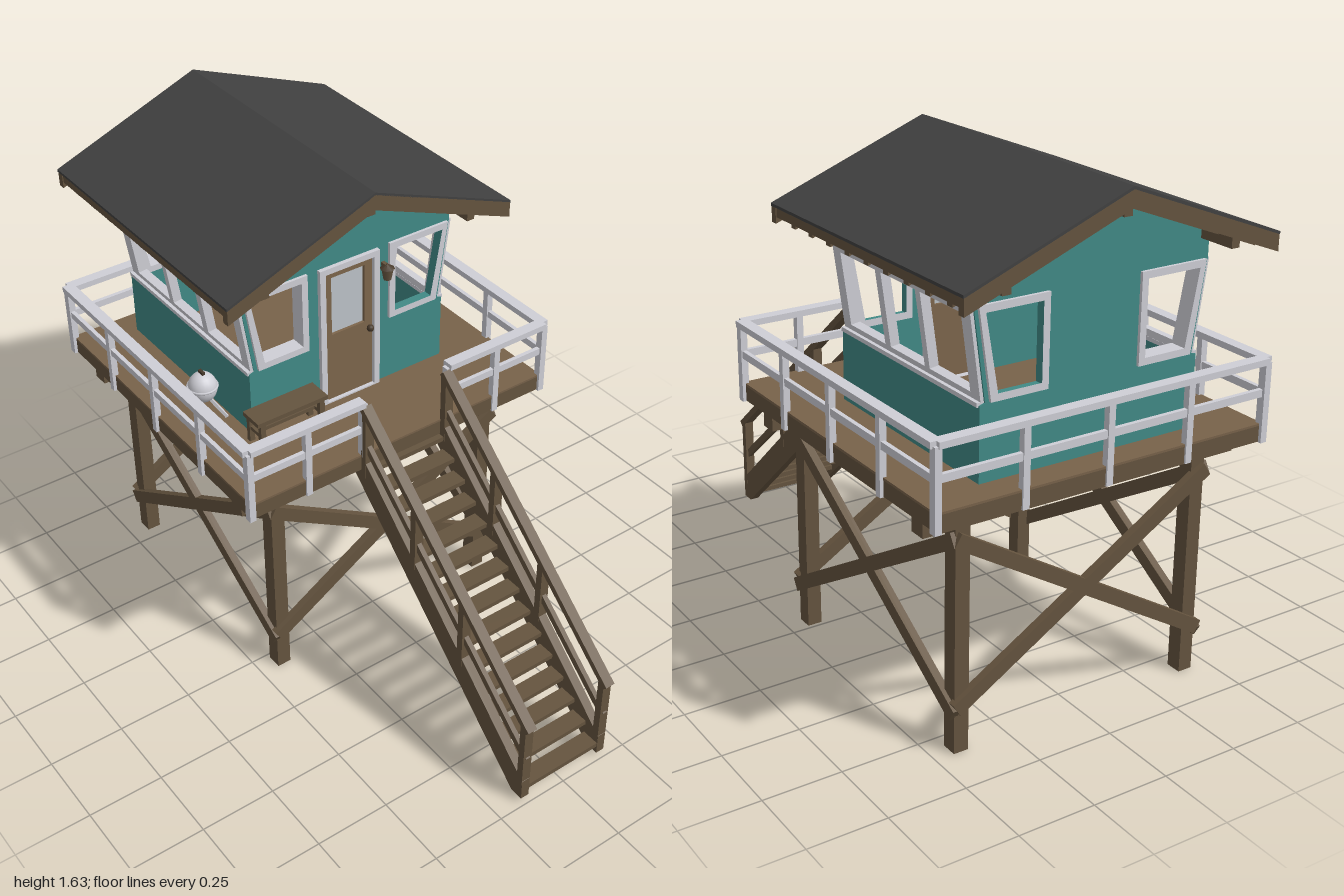
import * as THREE from 'three';

const mat = (name, color) => {
  const m = new THREE.MeshStandardMaterial({ color });
  m.name = name;
  return m;
};

export function createModel() {
  const wood = mat('weathered wood', 0x65543f);
  const darkWood = mat('dark wood', 0x483a2c);
  const floor = mat('floor boards', 0x78624a);
  const doorWood = mat('door wood', 0x7d664c);
  const teal = mat('teal paint', 0x418a86);
  const white = mat('white paint', 0xcfcfd6);
  const roofing = mat('roof felt', 0x414141);
  const glass = mat('pale glass', 0xbcc3c8);

  const root = new THREE.Group();
  root.name = 'watchTower';
  const group = (name) => {
    const g = new THREE.Group();
    g.name = name;
    root.add(g);
    return g;
  };
  const add = (parent, name, geo, m) => {
    const mesh = new THREE.Mesh(geo, m);
    mesh.name = name;
    parent.add(mesh);
    return mesh;
  };
  // Box given by its extents on each axis
  const box = (parent, name, m, x0, x1, y0, y1, z0, z1) => {
    const mesh = add(parent, name, new THREE.BoxGeometry(x1 - x0, y1 - y0, z1 - z0), m);
    mesh.position.set((x0 + x1) / 2, (y0 + y1) / 2, (z0 + z1) / 2);
    return mesh;
  };
  // Square timber between two points: w sideways, h upright
  const beam = (parent, name, m, a, b, w, h) => {
    const A = new THREE.Vector3(...a), B = new THREE.Vector3(...b);
    const mesh = add(parent, name, new THREE.BoxGeometry(w, h, A.distanceTo(B)), m);
    mesh.position.copy(A).lerp(B, 0.5);
    mesh.lookAt(B);
    return mesh;
  };
  const poly = (pts, holes = []) => {
    const s = new THREE.Shape(pts.map((p) => new THREE.Vector2(...p)));
    holes.forEach((h) => s.holes.push(new THREE.Path(h.map((p) => new THREE.Vector2(...p)))));
    return s;
  };
  const rect = (a, b, c, d) => [[a, c], [b, c], [b, d], [a, d]];
  const extrude = (shape, depth) => new THREE.ExtrudeGeometry(shape, { depth, bevelEnabled: false });
  // Profile drawn in (z, y), running from x towards -x
  const crossPart = (parent, name, m, shape, x, depth) => {
    const mesh = add(parent, name, extrude(shape, depth), m);
    mesh.rotation.y = -Math.PI / 2;
    mesh.position.x = x;
    return mesh;
  };

  // Legs, cross braces and bearers
  const base = group('towerBase');
  const X0 = -0.82, X1 = 0.04, Z = 0.415;
  for (const x of [X0, X1]) {
    for (const z of [-Z, Z]) box(base, 'leg', wood, x - 0.026, x + 0.026, 0, 0.77, z - 0.024, z + 0.024);
    box(base, 'bearer', wood, x - 0.028, x + 0.028, 0.71, 0.77, -0.545, 0.545);
    const out = x + Math.sign(x - X0 - 0.1) * 0.03;
    beam(base, 'sideBrace', wood, [out, 0.15, -0.44], [out, 0.68, 0.44], 0.025, 0.045);
    beam(base, 'sideBrace', wood, [out, 0.15, 0.44], [out, 0.68, -0.44], 0.025, 0.045);
  }
  for (const s of [-1, 1]) {
    const z = s * (Z + 0.025);
    beam(base, 'longBrace', wood, [-0.85, 0.13, z], [0.07, 0.68, z], 0.025, 0.045);
    beam(base, 'longBrace', wood, [-0.85, 0.68, z], [0.07, 0.13, z], 0.025, 0.045);
  }

  // Deck
  const deck = group('deck');
  box(deck, 'deckFrame', wood, -0.945, 0.16, 0.772, 0.822, -0.565, 0.565);
  box(deck, 'deckUnderside', darkWood, -0.93, 0.145, 0.767, 0.773, -0.55, 0.55);
  box(deck, 'deckBoards', floor, -0.945, 0.16, 0.821, 0.829, -0.565, 0.565);

  // Railing with a gap for the stairs
  const rail = group('railing');
  const railRun = (a, b, n) => {
    const at = (t, y) => [a[0] + (b[0] - a[0]) * t, y, a[1] + (b[1] - a[1]) * t];
    beam(rail, 'topRail', white, at(0, 1.024), at(1, 1.024), 0.038, 0.02);
    beam(rail, 'midRail', white, at(0, 0.925), at(1, 0.925), 0.014, 0.024);
    for (let i = 0; i <= n; i++) {
      const [x, , z] = at(i / n, 0);
      box(rail, 'railPost', white, x - 0.011, x + 0.011, 0.77, 1.02, z - 0.011, z + 0.011);
    }
  };
  for (const s of [-1, 1]) railRun([-0.945, s * 0.565], [0.158, s * 0.565], 4);
  railRun([-0.94, -0.565], [-0.94, 0.565], 4);
  railRun([0.155, 0.565], [0.155, 0.15], 2);
  railRun([0.155, -0.565], [0.155, -0.175], 2);

  // Stairs
  const stairs = group('stairs');
  const zc = -0.01;
  const handY = (x) => 1.0 - (x - 0.17) * 0.845;
  for (const s of [-1, 1]) {
    const z = zc + s * 0.155;
    // Stringer with a plumb-cut top and a level foot
    const stringer = add(stairs, 'stringer', extrude(poly([
      [0.1, 0.765], [0.94, 0.015], [0.985, 0.015], [0.985, 0.09], [0.165, 0.822], [0.1, 0.822]]), 0.03), wood);
    stringer.position.z = z - 0.015;
    beam(stairs, 'handrail', wood, [0.16, handY(0.16), z], [0.99, handY(0.99), z], 0.034, 0.022);
    beam(stairs, 'stairMidRail', wood, [0.16, handY(0.16) - 0.135, z], [0.98, handY(0.98) - 0.135, z], 0.016, 0.024);
    for (const x of [0.17, 0.425, 0.665, 0.972]) {
      box(stairs, 'stairPost', wood, x - 0.012, x + 0.012, handY(x) - 0.25, handY(x), z - 0.016, z + 0.016);
    }
  }
  for (let i = 0; i < 15; i++) {
    const y = 0.05 + i * 0.0508, x = 0.955 - i * 0.0575;
    box(stairs, 'tread', wood, x - 0.032, x + 0.028, y - 0.008, y + 0.008, zc - 0.145, zc + 0.145);
  }

  // Cabin end walls, one with the doorway
  const cabin = group('cabin');
  const outline = [[-0.37, 0.825], [0.37, 0.825], [0.37, 1.055], [0.355, 1.06], [0.395, 1.34], [0.395, 1.43],
    [0, 1.585], [-0.395, 1.43], [-0.395, 1.34], [-0.355, 1.06], [-0.37, 1.055]];
  const trapezoid = (s, g) => [[s * (0.155 + g), 1.062 + g], [s * (0.342 - g), 1.062 + g],
    [s * (0.384 - g), 1.338 - g], [s * (0.155 + g), 1.338 - g]];
  const sideHoles = [trapezoid(1, 0.01), trapezoid(-1, 0.01)];
  const doorway = rect(-0.1, 0.1, 0.83, 1.32);
  crossPart(cabin, 'doorWall', teal, poly(outline, [...sideHoles, doorway]), -0.13, 0.035);
  crossPart(cabin, 'rearEndWall', teal, poly(outline, sideHoles), -0.82, 0.035);
  for (const s of [-1, 1]) {
    const frame = poly(trapezoid(s, 0), [trapezoid(s, 0.022)]);
    crossPart(cabin, 'endWindowFrame', white, frame, -0.12, 0.055);
    crossPart(cabin, 'endWindowFrame', white, frame, -0.81, 0.055);
  }

  // Long walls with leaning three-pane windows
  const tilt = Math.atan2(0.04, 0.28);
  const panes = [[-0.805, -0.605], [-0.58, -0.4], [-0.37, -0.175]].map(([a, b]) => rect(a, b, 0.025, 0.255));
  for (const s of [-1, 1]) {
    const zs = (a, b) => (s > 0 ? [a, b] : [-b, -a]);
    box(cabin, 'lowerWall', teal, -0.855, -0.13, 0.825, 1.055, ...zs(0.345, 0.372));
    box(cabin, 'headerWall', teal, -0.855, -0.13, 1.335, 1.44, ...zs(0.37, 0.396));
    box(cabin, 'sill', white, -0.85, -0.132, 1.05, 1.063, ...zs(0.335, 0.378));
    const frame = add(cabin, 'longWindowFrame', extrude(poly(rect(-0.85, -0.133, 0, 0.285), panes), 0.03), white);
    frame.geometry.translate(0, 0, -0.015);
    frame.position.set(0, 1.057, s * 0.35);
    frame.rotation.x = s * tilt;
  }
  box(cabin, 'cabinFloor', floor, -0.83, -0.15, 0.828, 0.834, -0.35, 0.35);

  // Door with pane and knob
  const door = group('door');
  crossPart(door, 'doorFrame', white, poly(rect(-0.113, 0.113, 0.83, 1.335), [rect(-0.092, 0.092, 0.835, 1.315)]), -0.115, 0.06);
  crossPart(door, 'doorLeaf', doorWood, poly(rect(-0.094, 0.094, 0.832, 1.317), [rect(-0.062, 0.064, 1.08, 1.29)]), -0.128, 0.025);
  box(door, 'doorPane', glass, -0.144, -0.138, 1.075, 1.295, -0.067, 0.069);
  const knob = add(door, 'doorKnob', new THREE.SphereGeometry(0.012, 12, 8), darkWood);
  knob.position.set(-0.118, 1.055, -0.078);

  // Wall lantern
  const lantern = group('lantern');
  box(lantern, 'lanternArm', wood, -0.135, -0.1, 1.265, 1.277, -0.14, -0.128);
  const lamp = add(lantern, 'lanternBody', new THREE.CylinderGeometry(0.02, 0.013, 0.04, 8), wood);
  lamp.position.set(-0.105, 1.245, -0.134);
  const lid = add(lantern, 'lanternCap', new THREE.ConeGeometry(0.024, 0.016, 8), darkWood);
  lid.position.set(-0.105, 1.273, -0.134);

  // Gabled roof: felt over a timber slab, with rafters below
  const roof = group('roof');
  const chevron = (w, top, t) => {
    const drop = w * 0.385;
    return poly([[-w, top - drop - t], [0, top - t], [w, top - drop - t], [w, top - drop], [0, top], [-w, top - drop]]);
  };
  crossPart(roof, 'roofSlab', wood, chevron(0.518, 1.625, 0.035), 0.01, 1.005);
  crossPart(roof, 'roofFelt', roofing, chevron(0.523, 1.631, 0.009), 0.015, 1.015);
  for (const x of [0.015, -0.975]) crossPart(roof, 'bargeBoard', wood, chevron(0.521, 1.624, 0.052), x, 0.025);
  for (let i = 0; i < 9; i++) crossPart(roof, 'rafter', wood, chevron(0.505, 1.592, 0.025), -0.075 - i * 0.103, 0.025);
  for (const z of [-0.38, 0, 0.38]) {
    const y = 1.575 - Math.abs(z) * 0.385;
    box(roof, 'purlin', wood, -0.98, -0.005, y - 0.03, y + 0.01, z - 0.014, z + 0.014);
  }

  // Kettle grill on splayed legs
  const grill = group('grill');
  grill.position.set(-0.26, 0.83, 0.465);
  const bowl = add(grill, 'grillBowl', new THREE.SphereGeometry(0.047, 20, 14), white);
  bowl.position.y = 0.145;
  bowl.scale.y = 1.1;
  const rim = add(grill, 'grillRim', new THREE.TorusGeometry(0.047, 0.004, 6, 20), white);
  rim.rotation.x = Math.PI / 2;
  rim.position.y = 0.15;
  box(grill, 'grillHandle', darkWood, -0.012, 0.012, 0.193, 0.205, -0.005, 0.005);
  for (let i = 0; i < 3; i++) {
    const a = (i * 2 * Math.PI) / 3 + 0.5;
    beam(grill, 'grillLeg', white, [Math.cos(a) * 0.06, 0, Math.sin(a) * 0.06],
      [Math.cos(a) * 0.025, 0.115, Math.sin(a) * 0.025], 0.01, 0.01);
  }

  // Bench beside the door
  const bench = group('bench');
  box(bench, 'benchSeat', wood, -0.118, -0.032, 0.925, 0.94, 0.15, 0.41);
  for (const z of [0.17, 0.39]) {
    for (const x of [-0.108, -0.042]) box(bench, 'benchLeg', wood, x - 0.008, x + 0.008, 0.828, 0.925, z - 0.009, z + 0.009);
    box(bench, 'benchEndRail', wood, -0.108, -0.042, 0.875, 0.888, z - 0.006, z + 0.006);
  }
  box(bench, 'benchStretcher', wood, -0.081, -0.069, 0.875, 0.888, 0.17, 0.39);

  return root;
}
